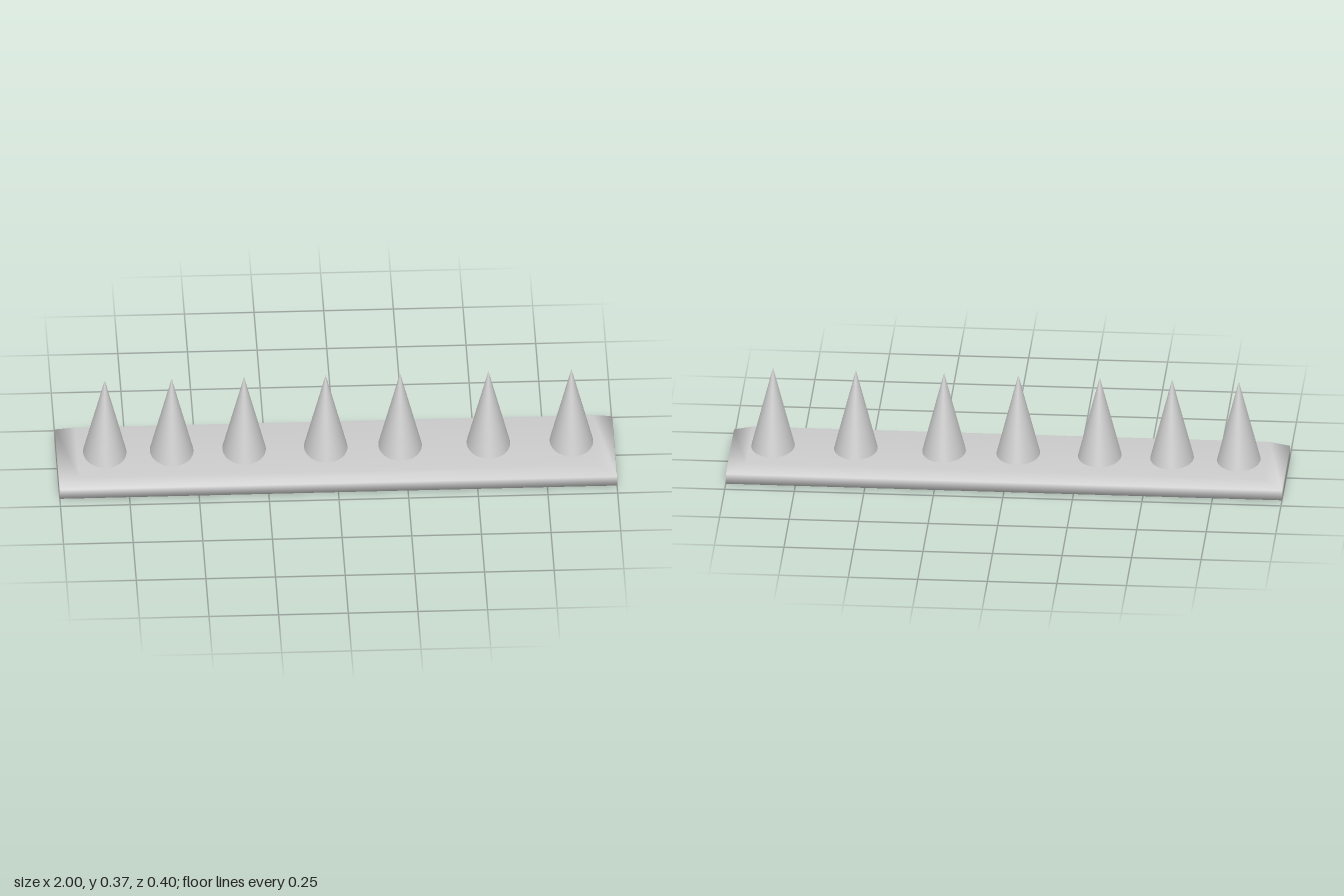
import * as THREE from 'three';

const material = new THREE.MeshStandardMaterial({ color: 0xcccccc });

// Slab from stacked rectangular rings [halfX, y, halfZ], shared corners for smooth shading
function slabGeometry(rings) {
  const corners = [[1, 1], [1, -1], [-1, -1], [-1, 1]];
  const positions = [];
  const index = [];
  for (const [hx, y, hz] of rings) {
    for (const [sx, sz] of corners) positions.push(sx * hx, y, sz * hz);
  }
  for (let r = 0; r < rings.length - 1; r++) {
    for (let i = 0; i < 4; i++) {
      const a = r * 4 + i, b = r * 4 + (i + 1) % 4;
      index.push(a, b, b + 4, a, b + 4, a + 4);
    }
  }
  const t = (rings.length - 1) * 4;
  index.push(0, 2, 1, 0, 3, 2); // underside
  index.push(t, t + 1, t + 2, t, t + 2, t + 3); // top
  const geometry = new THREE.BufferGeometry();
  geometry.setAttribute('position', new THREE.Float32BufferAttribute(positions, 3));
  geometry.setIndex(index);
  geometry.computeVertexNormals();
  return geometry;
}

export function createModel() {
  const model = new THREE.Group();
  model.name = 'spikeStrip';

  // Base plate with bevelled upper edges
  const base = new THREE.Mesh(
    slabGeometry([[1, 0, 0.2], [1, 0.038, 0.2], [0.93, 0.067, 0.165]]),
    material
  );
  base.name = 'base';
  model.add(base);

  // Row of unevenly spaced spikes with an oval footprint
  const height = 0.305;
  const spikeGeometry = new THREE.ConeGeometry(1, height, 48);
  spikeGeometry.scale(0.078, 1, 0.107);
  spikeGeometry.translate(0, height / 2, 0);
  [-0.83, -0.59, -0.33, -0.037, 0.23, 0.547, 0.845].forEach((x, i) => {
    const spike = new THREE.Mesh(spikeGeometry, material);
    spike.name = `spike${i + 1}`;
    spike.position.set(x, 0.067, 0);
    model.add(spike);
  });

  return model;
}
